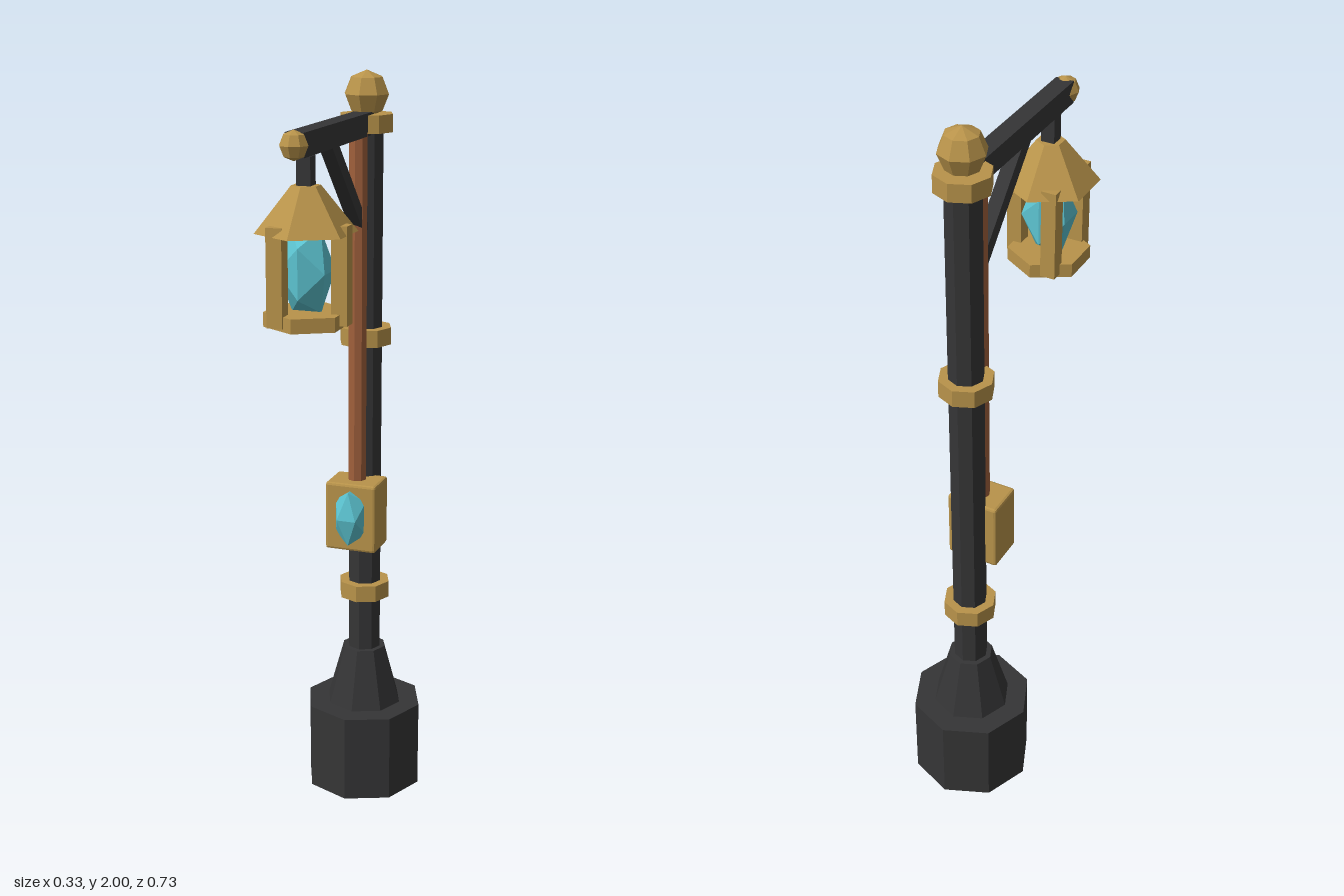
import * as THREE from 'three';
import { RoundedBoxGeometry } from 'three/addons/geometries/RoundedBoxGeometry.js';

const material = (name, color, flatShading = true) => {
  const m = new THREE.MeshStandardMaterial({ color, flatShading });
  m.name = name;
  return m;
};

export function createModel() {
  const iron = material('dark iron', 0x353536);
  const brass = material('brass', 0xb8934a);
  const copper = material('copper', 0xa0603c);
  const crystal = material('crystal', 0x5cc3d0);

  const root = new THREE.Group();
  root.name = 'streetLamp';
  const POST_Z = -0.2;
  const LAMP_Z = 0.238;

  const add = (name, geometry, mat, x, y, z) => {
    const mesh = new THREE.Mesh(geometry, mat);
    mesh.name = name;
    mesh.position.set(x, y, z);
    root.add(mesh);
    return mesh;
  };
  // Upright prism or frustum between two heights
  const column = (name, mat, rTop, rBottom, y0, y1, z, sides = 8) =>
    add(name, new THREE.CylinderGeometry(rTop, rBottom, y1 - y0, sides), mat, 0, (y0 + y1) / 2, z);
  const gem = (name, y, z, rx, ry, rz) => {
    const mesh = add(name, new THREE.IcosahedronGeometry(1, 0), crystal, 0, y, z);
    mesh.scale.set(rx, ry, rz);
    return mesh;
  };

  // Post with stepped foot
  column('base', iron, 0.164, 0.164, 0, 0.245, POST_Z);
  column('baseTaper', iron, 0.06, 0.106, 0.245, 0.41, POST_Z);
  column('post', iron, 0.046, 0.046, 0.4, 1.89, POST_Z);
  for (const y of [0.586, 1.31, 1.868]) {
    column('postBand', brass, 0.071, 0.071, y - 0.023, y + 0.023, POST_Z);
  }
  add('finial', new THREE.SphereGeometry(0.06, 8, 4), brass, 0, 1.94, POST_Z);

  // Arm, end knob and diagonal brace
  add('arm', new THREE.BoxGeometry(0.048, 0.058, 0.51), iron, 0, 1.868, 0.055);
  add('armKnob', new THREE.SphereGeometry(0.036, 8, 4), brass, 0, 1.868, 0.314);
  const from = new THREE.Vector3(0, 1.595, -0.155);
  const to = new THREE.Vector3(0, 1.86, 0.1);
  const brace = add('brace', new THREE.BoxGeometry(0.035, 0.035, from.distanceTo(to)), iron, 0, 0, 0);
  brace.position.addVectors(from, to).multiplyScalar(0.5);
  brace.lookAt(to);

  // Supply pipe and control box with its crystal
  column('pipe', copper, 0.025, 0.025, 0.9, 1.85, -0.135);
  add('controlBox', new RoundedBoxGeometry(0.142, 0.19, 0.108, 1, 0.007), brass, 0, 0.828, -0.131);
  gem('boxCrystal', 0.83, -0.085, 0.05, 0.088, 0.05).rotation.y = Math.PI / 2;

  // Hanging lantern
  add('hanger', new THREE.BoxGeometry(0.036, 0.075, 0.036), iron, 0, 1.798, LAMP_Z);
  column('lanternRoof', brass, 0.036, 0.126, 1.655, 1.767, LAMP_Z, 6);
  column('lanternFloor', brass, 0.106, 0.106, 1.43, 1.466, LAMP_Z, 6);
  gem('lanternCrystal', 1.563, LAMP_Z, 0.071, 0.118, 0.071);
  for (let i = 0; i < 3; i++) {
    const a = (i * Math.PI * 2) / 3;
    add('lanternBar', new THREE.BoxGeometry(0.04, 0.24, 0.04), brass,
      0.09 * Math.cos(a), 1.558, LAMP_Z + 0.09 * Math.sin(a));
  }
  return root;
}
